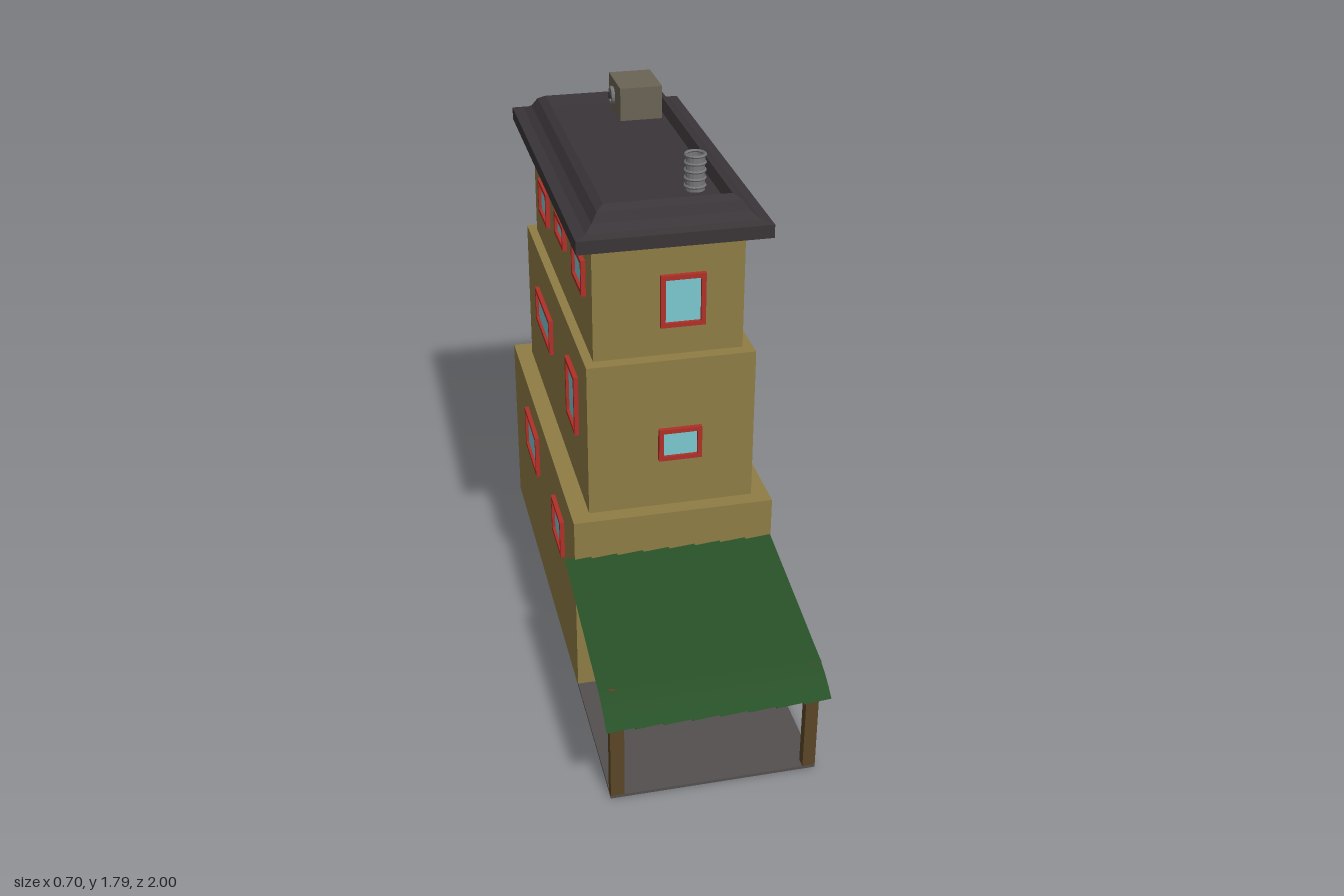
import * as THREE from 'three';

const mat = (color, side = THREE.FrontSide) =>
  new THREE.MeshStandardMaterial({ color, side, flatShading: true });
const M = {
  wall: mat(0x8f7d45, THREE.DoubleSide), roof: mat(0x3a3538), green: mat(0x285028, THREE.DoubleSide),
  wood: mat(0x5a4527), red: mat(0xb03028), glass: mat(0x7cc8d0), door: mat(0x435a80),
  unit: mat(0x6b6455), floor: mat(0x555050), metal: mat(0x77777a), dark: mat(0x333335),
};

function add(parent, name, geo, material, x = 0, y = 0, z = 0) {
  const m = new THREE.Mesh(geo, material);
  m.name = name;
  m.position.set(x, y, z);
  parent.add(m);
  return m;
}

// Box given by its min and max corners
function block(parent, name, material, [x0, y0, z0], [x1, y1, z1]) {
  return add(parent, name, new THREE.BoxGeometry(x1 - x0, y1 - y0, z1 - z0), material,
    (x0 + x1) / 2, (y0 + y1) / 2, (z0 + z1) / 2);
}

function quadGeometry(quads) {
  const pos = [];
  for (const [a, b, c, d] of quads) pos.push(...a, ...b, ...c, ...a, ...c, ...d);
  const g = new THREE.BufferGeometry();
  g.setAttribute('position', new THREE.Float32BufferAttribute(pos, 3));
  g.computeVertexNormals();
  return g;
}

// Skin over stacked rectangles [x0, x1, z0, z1, y], closed at the last one
function stack(rings) {
  const loops = rings.map(([x0, x1, z0, z1, y]) =>
    [[x0, y, z1], [x1, y, z1], [x1, y, z0], [x0, y, z0]]);
  const quads = [loops[loops.length - 1]];
  for (let r = 0; r + 1 < loops.length; r++)
    for (let i = 0; i < 4; i++) {
      const j = (i + 1) % 4;
      quads.push([loops[r][i], loops[r][j], loops[r + 1][j], loops[r + 1][i]]);
    }
  return quadGeometry(quads);
}

// Storeys: x0, x1, z0, z1, bottom, top
const storeys = [
  [-0.318, 0.346, -0.984, 0.326, 0, 0.66],
  [-0.258, 0.289, -0.909, 0.273, 0.66, 1.19],
  [-0.228, 0.256, -0.866, 0.23, 1.19, 1.575],
];

// Window on a storey wall; a..b runs along the wall, y0..y1 upward
function addWindow(parent, level, side, a, b, y0, y1) {
  const [x0, , z0, z1] = storeys[level];
  const g = new THREE.Group();
  g.name = side + 'Window';
  const w = b - a, h = y1 - y0, t = 0.015, c = (a + b) / 2, y = (y0 + y1) / 2;
  for (const s of [-1, 1]) {
    add(g, 'frameSide', new THREE.BoxGeometry(t, h, 0.026), M.red, s * (w - t) / 2, 0, 0.002);
    add(g, 'frameRail', new THREE.BoxGeometry(w - 2 * t, t, 0.026), M.red, 0, s * (h - t) / 2, 0.002);
  }
  add(g, 'pane', new THREE.BoxGeometry(w - 2 * t, h - 2 * t, 0.01), M.glass);
  if (side === 'front') g.position.set(c, y, z1);
  if (side === 'back') { g.position.set(c, y, z0); g.rotation.y = Math.PI; }
  if (side === 'right') { g.position.set(x0, y, c); g.rotation.y = -Math.PI / 2; }
  parent.add(g);
}

function addRoof(parent) {
  // Eaves, concave slope, rim and sunken deck: half width, half length, height
  const profile = [
    [0.2, 0.5, 1.57], [0.242, 0.548, 1.57], [0.285, 0.61, 1.59], [0.305, 0.632, 1.592],
    [0.305, 0.632, 1.635], [0.27, 0.6, 1.642], [0.245, 0.565, 1.66], [0.225, 0.55, 1.69],
    [0.2, 0.525, 1.705], [0.187, 0.51, 1.67],
  ];
  const cx = 0.016, cz = -0.317;
  add(parent, 'roof', stack(profile.map(([w, l, y]) => [cx - w, cx + w, cz - l, cz + l, y])), M.roof);

  // Ribbed flue
  const flue = new THREE.Group();
  flue.name = 'flue';
  flue.position.set(0.134, 0, 0.066);
  add(flue, 'pipe', new THREE.CylinderGeometry(0.031, 0.031, 0.12, 16, 1, true), M.metal, 0, 1.73, 0)
    .material = mat(0x77777a, THREE.DoubleSide);
  for (let i = 0; i < 5; i++) {
    const ring = add(flue, 'rib', new THREE.TorusGeometry(0.031, 0.005, 6, 16), M.metal, 0, 1.685 + i * 0.025, 0);
    ring.rotation.x = Math.PI / 2;
  }
  add(flue, 'plug', new THREE.CylinderGeometry(0.03, 0.03, 0.1, 16), M.dark, 0, 1.715, 0);
  parent.add(flue);

  // Ventilation unit with a fan on its right side
  const unit = new THREE.Group();
  unit.name = 'ventilationUnit';
  block(unit, 'housing', M.unit, [0.04, 1.66, -0.81], [0.188, 1.785, -0.615]);
  const rim = add(unit, 'fanRim', new THREE.TorusGeometry(0.026, 0.007, 6, 16), M.metal, 0.03, 1.733, -0.713);
  rim.rotation.y = Math.PI / 2;
  const hub = add(unit, 'fanHub', new THREE.CylinderGeometry(0.012, 0.012, 0.02, 10), M.dark, 0.03, 1.733, -0.713);
  hub.rotation.z = Math.PI / 2;
  for (let i = 0; i < 3; i++) {
    const blade = add(unit, 'fanBlade', new THREE.BoxGeometry(0.004, 0.05, 0.008), M.dark, 0.03, 1.733, -0.713);
    blade.rotation.x = i * Math.PI / 3;
  }
  parent.add(unit);
}

function addDoor(parent) {
  const g = new THREE.Group();
  g.name = 'door';
  block(g, 'leaf', M.door, [-0.047, 0.01, 0.318], [0.12, 0.357, 0.332]);
  block(g, 'jamb', M.wood, [-0.063, 0, 0.316], [-0.047, 0.375, 0.341]);
  block(g, 'jamb', M.wood, [0.12, 0, 0.316], [0.136, 0.375, 0.341]);
  block(g, 'lintel', M.wood, [-0.047, 0.357, 0.316], [0.12, 0.375, 0.341]);
  block(g, 'handle', M.dark, [0.07, 0.183, 0.342], [0.105, 0.19, 0.348]);
  block(g, 'handleStem', M.dark, [0.096, 0.182, 0.33], [0.105, 0.191, 0.346]);
  parent.add(g);
}

function addPorch(parent) {
  const g = new THREE.Group();
  g.name = 'porch';
  block(g, 'porchFloor', M.floor, [-0.318, 0, 0.326], [0.346, 0.01, 0.888]);
  block(g, 'porchPost', M.wood, [-0.318, 0, 0.855], [-0.274, 0.424, 0.888]);
  block(g, 'porchPost', M.wood, [0.305, 0, 0.855], [0.346, 0.424, 0.888]);

  // Overlapping slats: each one tilts slightly across its width
  const path = [[0.316, 0.524], [0.6, 0.474], [0.885, 0.423], [0.93, 0.407], [0.965, 0.388], [1, 0.364]];
  const quads = [], n = 8, x0 = -0.35, step = 0.694 / n, lift = 0.007;
  for (let s = 0; s < n; s++) {
    const xa = x0 + s * step, xb = xa + step;
    for (let i = 0; i + 1 < path.length; i++) {
      const [z0, y0] = path[i], [z1, y1] = path[i + 1];
      quads.push([[xa, y1 - lift / 2, z1], [xb, y1 + lift / 2, z1], [xb, y0 + lift / 2, z0], [xa, y0 - lift / 2, z0]]);
      if (s + 1 < n)
        quads.push([[xb, y1 + lift / 2, z1], [xb, y1 - lift / 2, z1], [xb, y0 - lift / 2, z0], [xb, y0 + lift / 2, z0]]);
    }
  }
  add(g, 'awning', quadGeometry(quads), M.green);
  parent.add(g);
}

export function createModel() {
  const model = new THREE.Group();
  model.name = 'tower';

  // Stepped walls, open underneath
  const rings = storeys.flatMap(([x0, x1, z0, z1, b, t]) => [[x0, x1, z0, z1, b], [x0, x1, z0, z1, t]]);
  add(model, 'walls', stack(rings), M.wall);

  // Windows: level, side, start, end, bottom, top
  for (const w of [
    [2, 'front', -0.014, 0.13, 1.289, 1.465],
    [1, 'front', -0.028, 0.114, 0.834, 0.948],
    [2, 'back', -0.09, 0.055, 1.318, 1.516],
    [1, 'back', -0.035, 0.12, 0.845, 0.946],
    [0, 'back', 0.172, 0.294, 0.42, 0.536],
    [0, 'back', -0.22, -0.114, 0.233, 0.388],
    [0, 'right', -0.64, -0.392, 0.41, 0.57],
    [0, 'right', -0.053, 0.127, 0.4, 0.54],
    [1, 'right', -0.665, -0.365, 0.92, 1.05],
    [1, 'right', -0.045, 0.12, 0.867, 1.08],
    [2, 'right', -0.71, -0.54, 1.325, 1.45],
    [2, 'right', -0.37, -0.205, 1.38, 1.465],
    [2, 'right', -0.045, 0.13, 1.37, 1.49],
  ]) addWindow(model, ...w);

  addRoof(model);
  addDoor(model);
  addPorch(model);
  return model;
}
